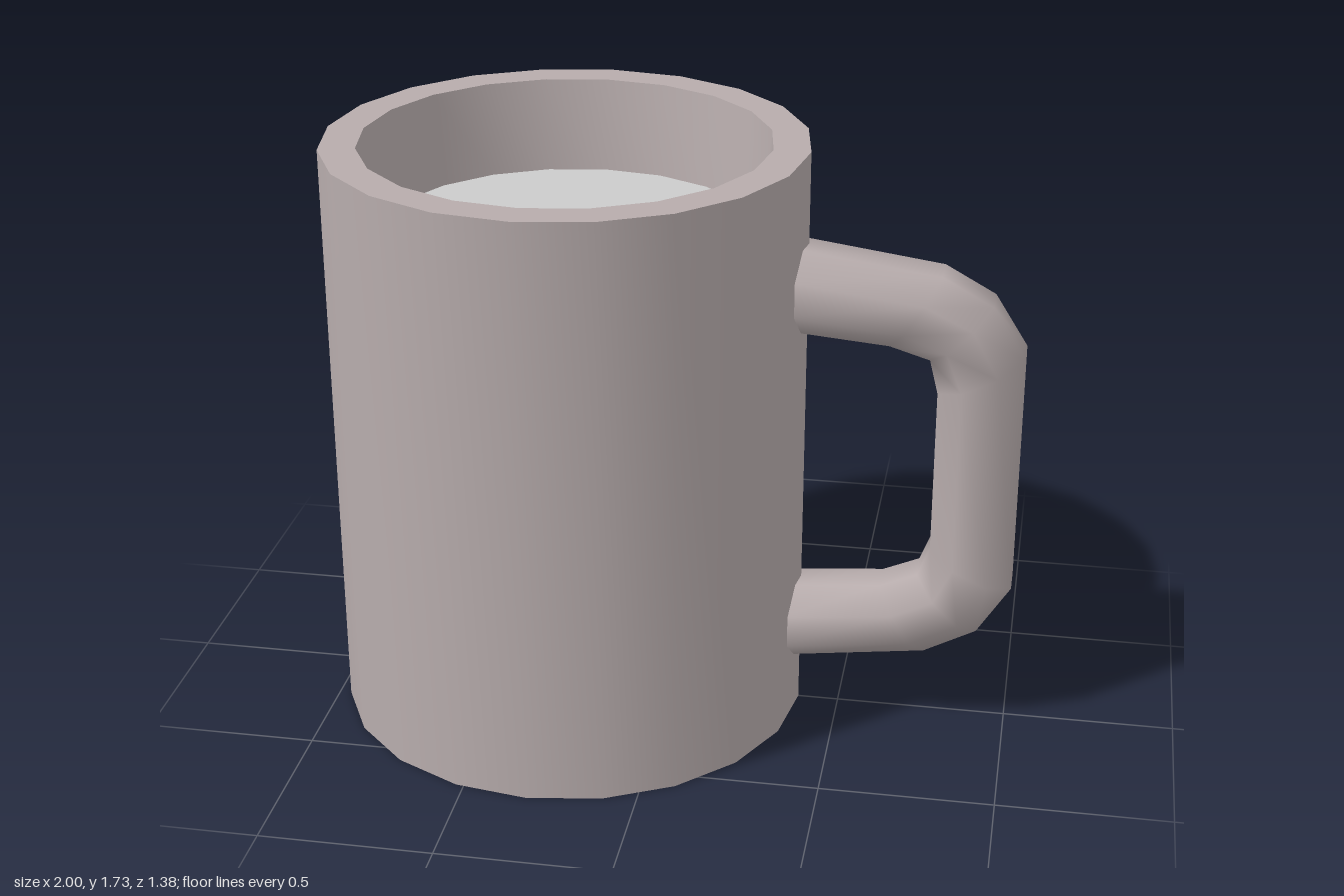
import * as THREE from 'three';
import { toCreasedNormals } from 'three/addons/utils/BufferGeometryUtils.js';

const SIDES = 20;
const CUP_X = -0.31;
const Z_MID = 0.01;

// Octagonal bar swept through pairs of [outer x, outer y, inner x, inner y]
function sweepBar(pairs, halfWidth) {
  const n = 8, pos = [], idx = [];
  const apothem = Math.cos(Math.PI / n);
  for (const [ox, oy, ix, iy] of pairs) {
    for (let j = 0; j < n; j++) {
      const a = ((j + 0.5) / n) * Math.PI * 2;
      const u = 0.5 + (0.5 * Math.cos(a)) / apothem;
      pos.push(ix + (ox - ix) * u, iy + (oy - iy) * u, Z_MID + (halfWidth * Math.sin(a)) / apothem);
    }
  }
  for (let i = 0; i < pairs.length - 1; i++) {
    for (let j = 0; j < n; j++) {
      const k = (j + 1) % n;
      const a = i * n + j, b = i * n + k, c = a + n, d = b + n;
      idx.push(a, b, c, b, d, c);
    }
  }
  const g = new THREE.BufferGeometry();
  g.setAttribute('position', new THREE.Float32BufferAttribute(pos, 3));
  g.setIndex(idx);
  g.computeVertexNormals();
  return g;
}

export function createModel() {
  const model = new THREE.Group();
  model.name = 'mug';
  const ceramic = new THREE.MeshStandardMaterial({ color: 0xb7acac });
  const grey = new THREE.MeshStandardMaterial({ color: 0xcccccc });

  // Cup: base, outer wall, flat rim and slightly tapered inner wall
  const profile = [[0, 0], [0.69, 0], [0.69, 1.73], [0.585, 1.73], [0.555, 1.455]]
    .map(([r, y]) => new THREE.Vector2(r, y));
  const cup = new THREE.Mesh(toCreasedNormals(new THREE.LatheGeometry(profile, SIDES), 0.7), ceramic);
  cup.name = 'cup';
  cup.position.x = CUP_X;
  model.add(cup);

  // Flat surface of the drink inside the cup
  const drink = new THREE.Mesh(new THREE.CircleGeometry(0.556, SIDES), grey);
  drink.name = 'drinkSurface';
  drink.rotation.x = -Math.PI / 2;
  drink.position.set(CUP_X, 1.456, 0);
  model.add(drink);

  // Handle: ends are buried in the cup wall
  const handle = new THREE.Mesh(sweepBar([
    [0.33, 1.47, 0.33, 1.22],
    [0.76, 1.41, 0.62, 1.195],
    [0.905, 1.33, 0.735, 1.16],
    [1.0, 1.18, 0.76, 1.06],
    [1.0, 0.46, 0.76, 0.57],
    [0.905, 0.31, 0.725, 0.48],
    [0.755, 0.23, 0.62, 0.435],
    [0.33, 0.175, 0.33, 0.41],
  ], 0.128), ceramic);
  handle.name = 'handle';
  model.add(handle);

  return model;
}
